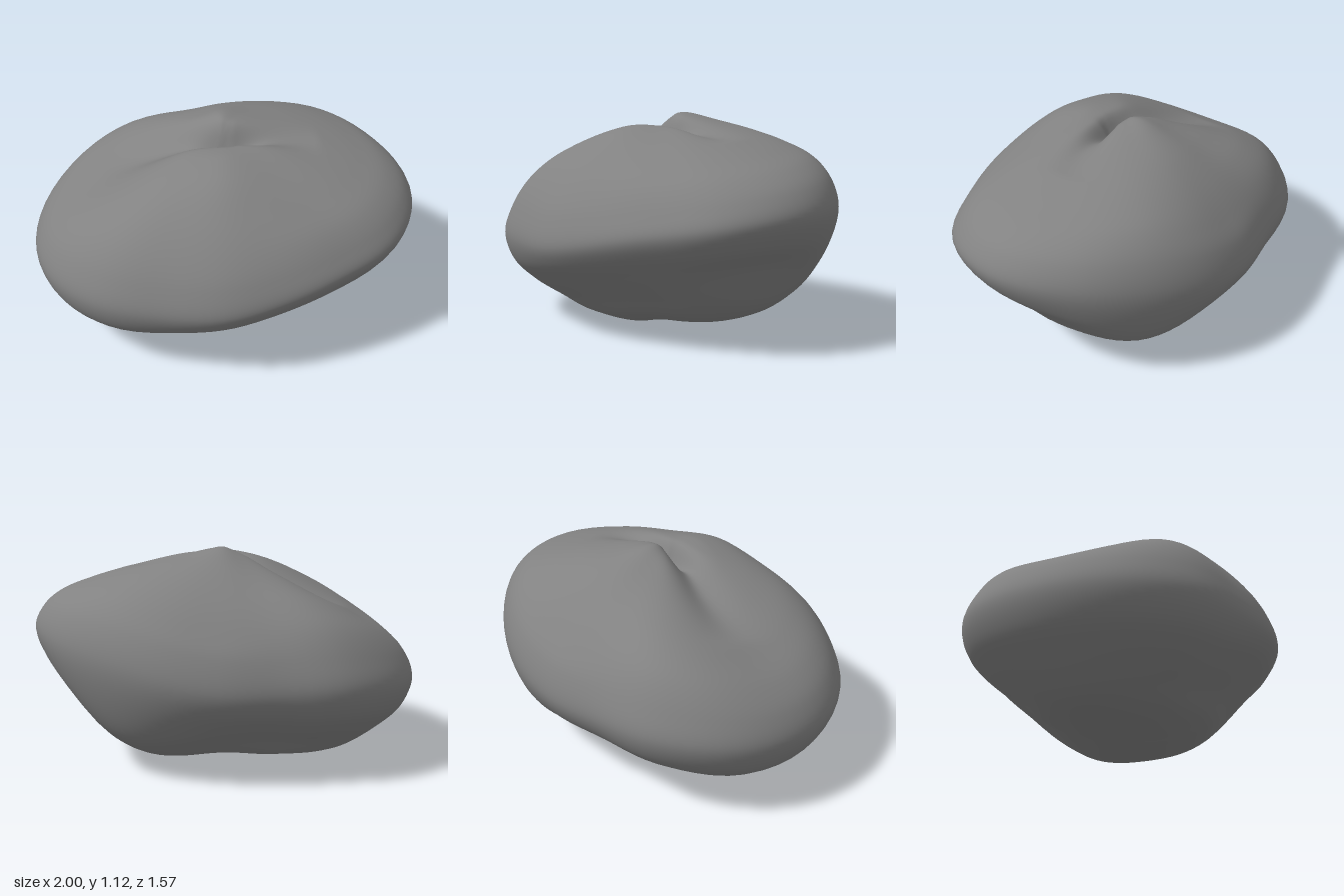
import * as THREE from 'three';
import { mergeVertices } from 'three/addons/utils/BufferGeometryUtils.js';

// Outline radius every 22.5 degrees, turning from +x towards +z
const OUTLINE = [1, .96, .84, .78, .78, .80, .895, .97, 1, .985, .905, .79, .785, .82, .87, .94];

// Radial stations (fraction of the outline radius): over the top, round the rim, under the base
const STATIONS = [0, .15, .3, .5, .7, .85, .95, 1, .95, .82, .65, .5, .25, 0];
const TOP_Y = 1.12, BASE_Y = 0.035;

// Heights at the inner stations, one row every 45 degrees
const HEIGHTS = [
  [1.09, 1.06, 1.01, .95, .89, .81, .70, .57, .43, .21, .11, .05],
  [1.08, 1.06, 1.00, .91, .82, .71, .61, .51, .39, .25, .14, .06],
  [1.075, 1.07, 1.02, .90, .77, .64, .50, .41, .31, .20, .10, .03],
  [1.07, 1.04, .975, .88, .76, .62, .47, .33, .22, .13, .06, .02],
  [1.06, .98, .875, .77, .68, .58, .45, .30, .17, .05, .015, .015],
  [1.095, 1.04, .97, .89, .79, .65, .51, .38, .27, .18, .09, .035],
  [1.125, 1.09, 1.02, .91, .79, .68, .52, .41, .30, .20, .12, .05],
  [1.11, 1.085, 1.045, .985, .915, .81, .65, .44, .23, .12, .07, .045],
];

// Smooth periodic interpolation; u runs 0..1 round the loop
function cyclic(values, u) {
  const n = values.length, f = u * n, i = Math.floor(f), t = f - i;
  const at = (k) => values[(i + k + n) % n];
  const [a, b, c, d] = [at(-1), at(0), at(1), at(2)];
  return b + 0.5 * t * (c - a + t * (2 * a - 5 * b + 4 * c - d + t * (3 * (b - c) + d - a)));
}

// Creases running out from the pinched dimple: end point, depth, inner and outer width
const CREASES = [
  { x: -.62, z: -.1, depth: .075, w0: .05, w1: .15 },
  { x: .5, z: -.01, depth: .055, w0: .035, w1: .1 },
];
const DIMPLE = { x: .02, z: .045 };

function foldDepth(x, z) {
  const px = x - DIMPLE.x, pz = z - DIMPLE.z;
  const depth = 0.08 * Math.exp(-((px / .14) ** 2) - (pz / .045) ** 2);
  let groove = 0;
  for (const c of CREASES) {
    const dx = c.x - DIMPLE.x, dz = c.z - DIMPLE.z;
    const s = THREE.MathUtils.clamp((px * dx + pz * dz) / (dx * dx + dz * dz), 0, 1);
    const dist = Math.hypot(px - s * dx, pz - s * dz);
    const width = c.w0 + (c.w1 - c.w0) * s;
    groove = Math.max(groove, c.depth * (1 - s * s) * Math.exp(-((dist / width) ** 2)));
  }
  return depth + groove;
}

function boulderGeometry() {
  const around = 80, rows = 104;
  const positions = [], index = [];
  const rimRow = rows * 7 / 13;
  for (let j = 0; j < around; j++) {
    const u = j / around, angle = u * Math.PI * 2;
    const radius = cyclic(OUTLINE, u);
    // Section through the stone in this direction
    const points = STATIONS.map((t, k) => {
      const y = k === 0 ? TOP_Y : k === 13 ? BASE_Y : cyclic(HEIGHTS.map((h) => h[k - 1]), u);
      return new THREE.Vector3(t * radius, y, 0);
    });
    const section = new THREE.CatmullRomCurve3(points);
    for (let i = 0; i <= rows; i++) {
      const p = section.getPoint(i / rows);
      const x = Math.cos(angle) * p.x, z = Math.sin(angle) * p.x;
      const y = i < rimRow ? p.y - foldDepth(x, z) : Math.max(p.y, 0);
      positions.push(x, y, z);
    }
  }
  const id = (i, j) => (j % around) * (rows + 1) + i;
  for (let j = 0; j < around; j++) {
    for (let i = 0; i < rows; i++) {
      const a = id(i, j), b = id(i, j + 1), c = id(i + 1, j), d = id(i + 1, j + 1);
      if (i > 0) index.push(a, b, c);
      if (i < rows - 1) index.push(b, d, c);
    }
  }
  const geometry = new THREE.BufferGeometry();
  geometry.setAttribute('position', new THREE.Float32BufferAttribute(positions, 3));
  geometry.setIndex(index);
  // Weld the poles so the shading is smooth across them
  const welded = mergeVertices(geometry, 1e-5);
  welded.computeVertexNormals();
  return welded;
}

export function createModel() {
  const group = new THREE.Group();
  group.name = 'boulder';
  const stone = new THREE.Mesh(boulderGeometry(), new THREE.MeshStandardMaterial({ color: 0x828282 }));
  stone.name = 'stone';
  group.add(stone);
  return group;
}
